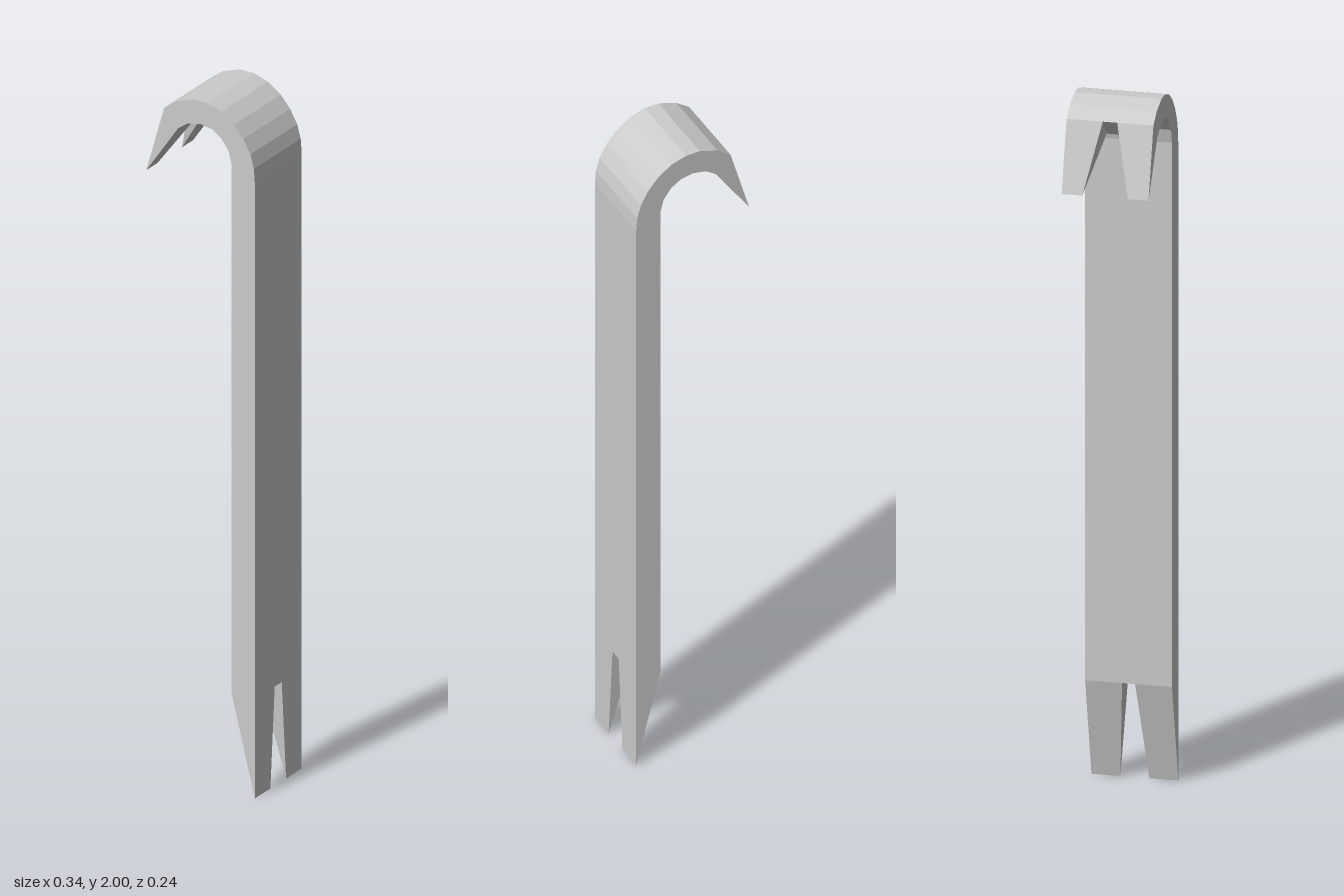
import * as THREE from 'three';
import { ConvexGeometry } from 'three/addons/geometries/ConvexGeometry.js';

const HALF = 0.12; // half the bar's width along z

// Corners where the claws join the bar: outer and inner faces, and the claw tips
const hook = { outer: [-0.115, 1.955], inner: [-0.07, 1.906], tip: [-0.171, 1.76], rootGap: 0.02, tipGap: 0.063 };
const foot = { outer: [0.171, 0.29], inner: [0.098, 0.29], tip: [0.171, 0], rootGap: 0.018, tipGap: 0.04 };

export function createModel() {
  const group = new THREE.Group();
  const material = new THREE.MeshStandardMaterial({ color: 0xcccccc, flatShading: true });

  function add(name, geometry) {
    const mesh = new THREE.Mesh(geometry, material);
    mesh.name = name;
    group.add(mesh);
    return mesh;
  }

  // Flat bar with the curved neck, as one side profile
  const outline = [
    foot.inner, foot.outer,
    [0.171, 1.8], [0.168, 1.84], [0.157, 1.88], [0.135, 1.92], [0.105, 1.955],
    [0.065, 1.984], [0.02, 1.999], [-0.022, 2], [-0.076, 1.983],
    hook.outer, hook.inner,
    [-0.04, 1.926], [0, 1.933], [0.035, 1.926], [0.065, 1.906], [0.088, 1.875], [0.098, 1.835],
  ].map(([x, y]) => new THREE.Vector2(x, y));
  const bar = new THREE.ExtrudeGeometry(new THREE.Shape(outline), { depth: 2 * HALF, bevelEnabled: false });
  add('bar', bar.translate(0, 0, -HALF));

  // Wedge-shaped claw between the notch and the side of the bar
  function claw({ outer, inner, tip, rootGap, tipGap }, side) {
    const points = [];
    for (const [[x, y], gap] of [[outer, rootGap], [inner, rootGap], [tip, tipGap]]) {
      points.push(new THREE.Vector3(x, y, side * gap), new THREE.Vector3(x, y, side * HALF));
    }
    return new ConvexGeometry(points);
  }

  for (const side of [1, -1]) {
    const end = side > 0 ? 'Front' : 'Back';
    add('hookClaw' + end, claw(hook, side));
    add('footClaw' + end, claw(foot, side));
  }
  return group;
}
